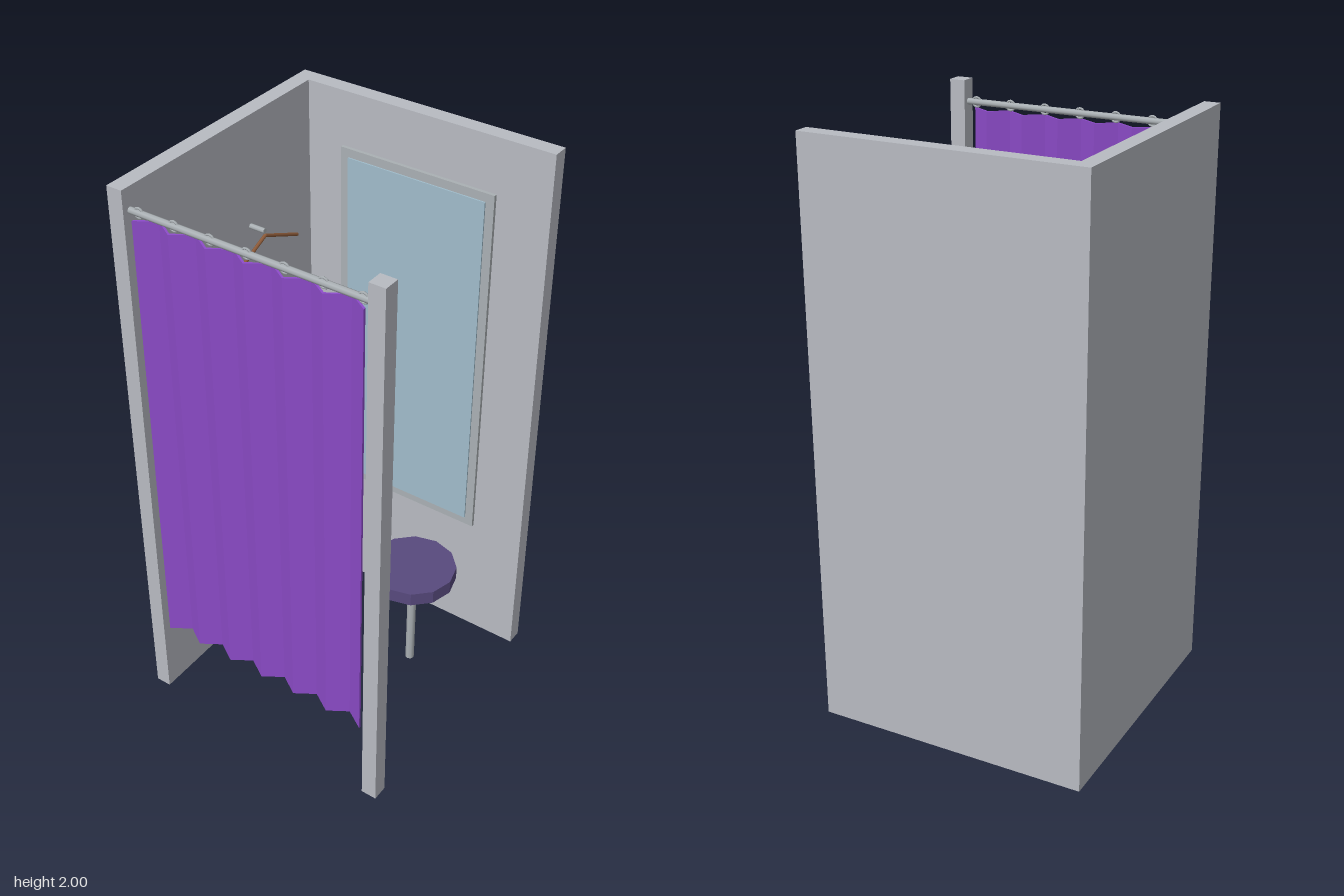
import * as THREE from 'three';

const mat = (name, color, extra = {}) => {
  const m = new THREE.MeshStandardMaterial({ color, ...extra });
  m.name = name;
  return m;
};

export function createModel() {
  const root = new THREE.Group();
  root.name = 'changingBooth';

  const wall = mat('wallGrey', 0xb8bbc2);
  const metal = mat('metal', 0xaab0b4);
  const cloth = mat('curtainPurple', 0x8e4ccb, { flatShading: true });
  const cushion = mat('seatPurple', 0x584a7e, { flatShading: true });
  const glass = mat('mirrorGlass', 0xa0bccb);
  const wood = mat('hangerWood', 0x8f5c3a);

  const add = (name, geometry, material, x = 0, y = 0, z = 0) => {
    const mesh = new THREE.Mesh(geometry, material);
    mesh.name = name;
    mesh.position.set(x, y, z);
    root.add(mesh);
    return mesh;
  };
  // Box given by its lower and upper corners
  const box = (name, material, a, b) => add(name,
    new THREE.BoxGeometry(b[0] - a[0], b[1] - a[1], b[2] - a[2]), material,
    (a[0] + b[0]) / 2, (a[1] + b[1]) / 2, (a[2] + b[2]) / 2);
  // Round bar between two points
  const bar = (name, material, a, b, radius, sides) => {
    const from = new THREE.Vector3(...a), dir = new THREE.Vector3(...b).sub(from);
    const mesh = add(name, new THREE.CylinderGeometry(radius, radius, dir.length(), sides), material);
    mesh.position.copy(from).addScaledVector(dir, 0.5);
    mesh.quaternion.setFromUnitVectors(new THREE.Vector3(0, 1, 0), dir.normalize());
    return mesh;
  };

  // Two walls and the front post
  box('backWall', wall, [-0.42, 0, -0.475], [0.475, 2, -0.42]);
  box('sideWall', wall, [-0.475, 0, -0.475], [-0.42, 2, 0.475]);
  box('frontPost', wall, [0.42, 0, 0.42], [0.475, 2, 0.475]);

  // Mirror on the back wall
  box('mirrorFrame', metal, [-0.286, 0.48, -0.42], [0.286, 1.81, -0.408]);
  box('mirrorPane', glass, [-0.256, 0.51, -0.408], [0.256, 1.78, -0.403]);

  // Curtain rod with rings
  const rodY = 1.926, rodZ = 0.446;
  bar('curtainRod', metal, [-0.42, rodY, rodZ], [0.42, rodY, rodZ], 0.011, 8);
  for (let i = -3; i <= 3; i++) {
    add('curtainRing', new THREE.TorusGeometry(0.016, 0.004, 6, 12), metal, i * 0.129, rodY, rodZ);
  }

  // Pleated curtain: a zigzag strip extruded upwards
  const folds = 12, thick = 0.008, front = [], back = [];
  for (let i = 0; i <= folds; i++) {
    const x = -0.4 + (0.8 * i) / folds;
    const z = i % 2 ? 0.419 : 0.461;
    front.push(new THREE.Vector2(x, -z - thick / 2));
    back.unshift(new THREE.Vector2(x, -z + thick / 2));
  }
  const curtain = new THREE.ExtrudeGeometry(new THREE.Shape([...front, ...back]),
    { depth: 1.615, bevelEnabled: false });
  curtain.rotateX(-Math.PI / 2);
  add('curtain', curtain, cloth, 0, 0.29, 0);

  // Stool
  add('stoolSeat', new THREE.CylinderGeometry(0.152, 0.152, 0.05, 12), cushion, 0.208, 0.425, -0.145);
  add('stoolLeg', new THREE.CylinderGeometry(0.016, 0.016, 0.4, 8), metal, 0.208, 0.2, -0.145);

  // Wall peg and clothes hanger
  const hx = -0.363, hz = -0.097;
  bar('wallPeg', metal, [-0.42, 1.62, hz], [hx, 1.62, hz], 0.009, 8);
  for (const s of [-1, 1]) {
    bar('hangerArm', wood, [hx, 1.604, hz], [hx, 1.528, hz + s * 0.17], 0.006, 6);
  }

  return root;
}
